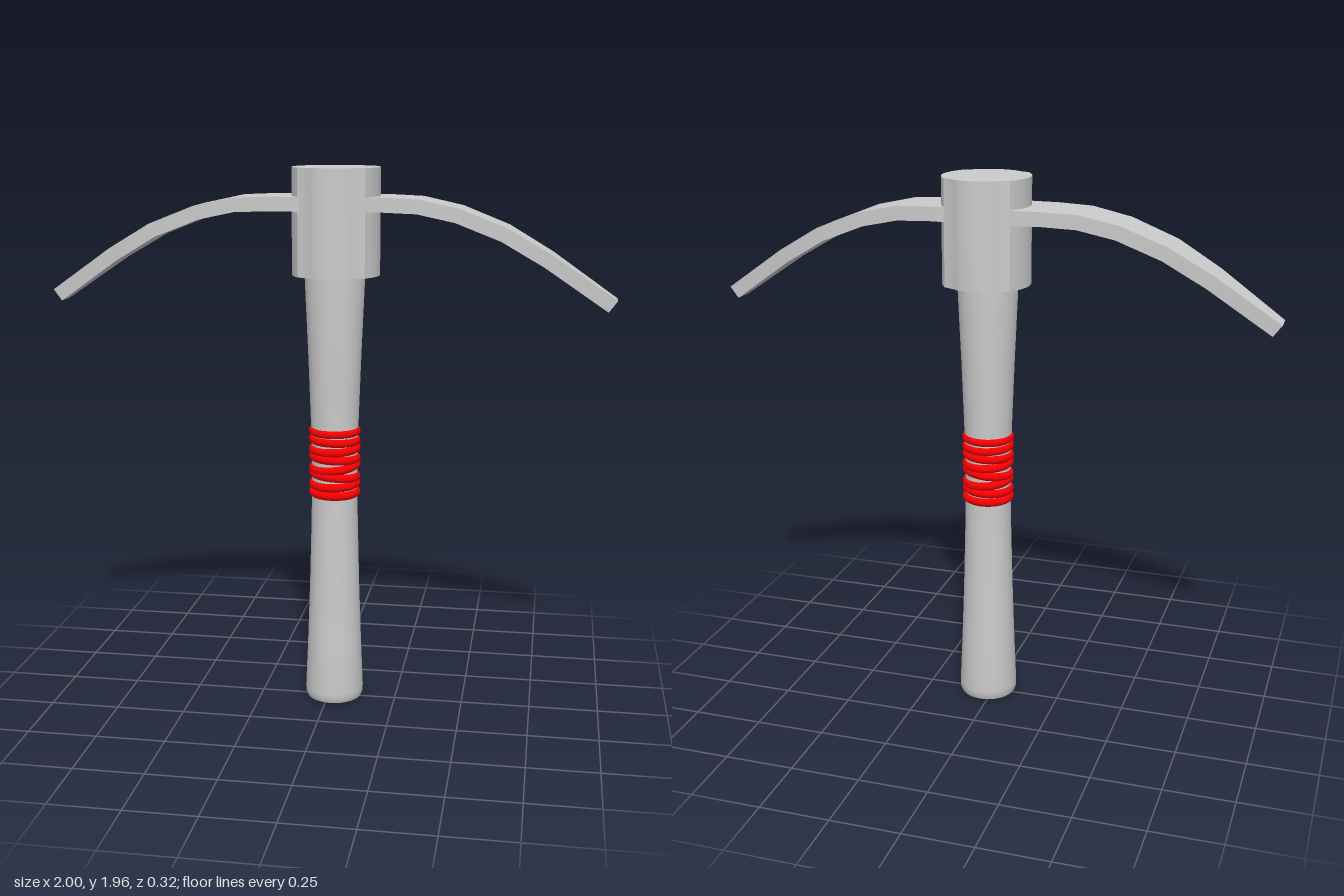
import * as THREE from 'three';
import { toCreasedNormals } from 'three/addons/utils/BufferGeometryUtils.js';

const GREY = new THREE.MeshStandardMaterial({ color: 0xcccccc });
const RED = new THREE.MeshStandardMaterial({ color: 0xff0000 });
const AXIS_X = 0.022; // handle axis, slightly off the middle of the blade

function addMesh(parent, name, geometry, material = GREY) {
  const mesh = new THREE.Mesh(geometry, material);
  mesh.name = name;
  parent.add(mesh);
  return mesh;
}

// Handle: turned shaft, waisted at the grip, rounded at the butt
function handleGeometry() {
  const profile = [
    [0, 0], [0.088, 0], [0.1, 0.006], [0.106, 0.02], [0.107, 0.04],
    [0.099, 0.22], [0.091, 0.45], [0.085, 0.68], [0.083, 0.8], [0.083, 0.95],
    [0.087, 1.08], [0.095, 1.3], [0.107, 1.58], [0.107, 1.62],
  ].map(([r, y]) => new THREE.Vector2(r, y));
  return toCreasedNormals(new THREE.LatheGeometry(profile, 32), 0.7);
}

// Head: round socket with four creased corners where the blade passes through
function headGeometry() {
  const s = new THREE.Shape();
  s.moveTo(0.117, -0.112);
  s.quadraticCurveTo(0.193, 0, 0.117, 0.112);
  s.quadraticCurveTo(0.085, 0.125, 0.06, 0.144);
  s.quadraticCurveTo(0, 0.172, -0.06, 0.144);
  s.quadraticCurveTo(-0.085, 0.125, -0.117, 0.112);
  s.quadraticCurveTo(-0.193, 0, -0.117, -0.112);
  s.quadraticCurveTo(-0.085, -0.125, -0.06, -0.144);
  s.quadraticCurveTo(0, -0.172, 0.06, -0.144);
  s.quadraticCurveTo(0.085, -0.125, 0.117, -0.112);
  const g = new THREE.ExtrudeGeometry(s, { depth: 0.373, bevelEnabled: false, curveSegments: 8 });
  g.rotateX(-Math.PI / 2);
  return toCreasedNormals(g, 0.5);
}

// Blade: bar bent along a centre line; each station is x, y, slope angle, half width
function bladeGeometry() {
  const half = [
    [0.1, 1.835, 0, 0.115], [0.2, 1.835, 0, 0.11], [0.32, 1.83, 0.12, 0.105],
    [0.455, 1.801, 0.3, 0.098], [0.615, 1.738, 0.45, 0.09],
    [0.765, 1.65, 0.57, 0.072], [0.987, 1.497, 0.64, 0.04],
  ];
  const stations = [
    ...half.map(([x, y, a, w]) => [-x, y, -a, w]).reverse(),
    ...half,
  ];
  const n = stations.length - 1;
  const g = new THREE.BoxGeometry(n, 0.05, 2, n, 1, 1);
  const p = g.attributes.position;
  for (let i = 0; i < p.count; i++) {
    const [x, y, a, w] = stations[Math.round(p.getX(i) + n / 2)];
    const t = p.getY(i);
    p.setXYZ(i, x + Math.sin(a) * t, y + Math.cos(a) * t, p.getZ(i) * w);
  }
  g.computeVertexNormals();
  return g;
}

export function createModel() {
  const model = new THREE.Group();
  model.name = 'pickaxe';

  addMesh(model, 'handle', handleGeometry()).position.x = AXIS_X;
  addMesh(model, 'head', headGeometry()).position.set(0.026, 1.585, 0);
  addMesh(model, 'blade', bladeGeometry());

  // Grip: stacked cord turns, some lying askew
  const grip = new THREE.Group();
  grip.name = 'gripWrap';
  grip.position.x = AXIS_X;
  model.add(grip);
  const cord = new THREE.TorusGeometry(0.077, 0.017, 10, 32);
  cord.rotateX(Math.PI / 2);
  const tilts = [0, 0.03, -0.09, 0.1, -0.05, 0.04, -0.03, 0];
  tilts.forEach((tilt, i) => {
    const turn = addMesh(grip, 'cordTurn' + (i + 1), cord, RED);
    turn.position.y = 0.796 + i * 0.0325;
    turn.rotation.set(tilt * 0.6, 0, tilt);
  });

  return model;
}
